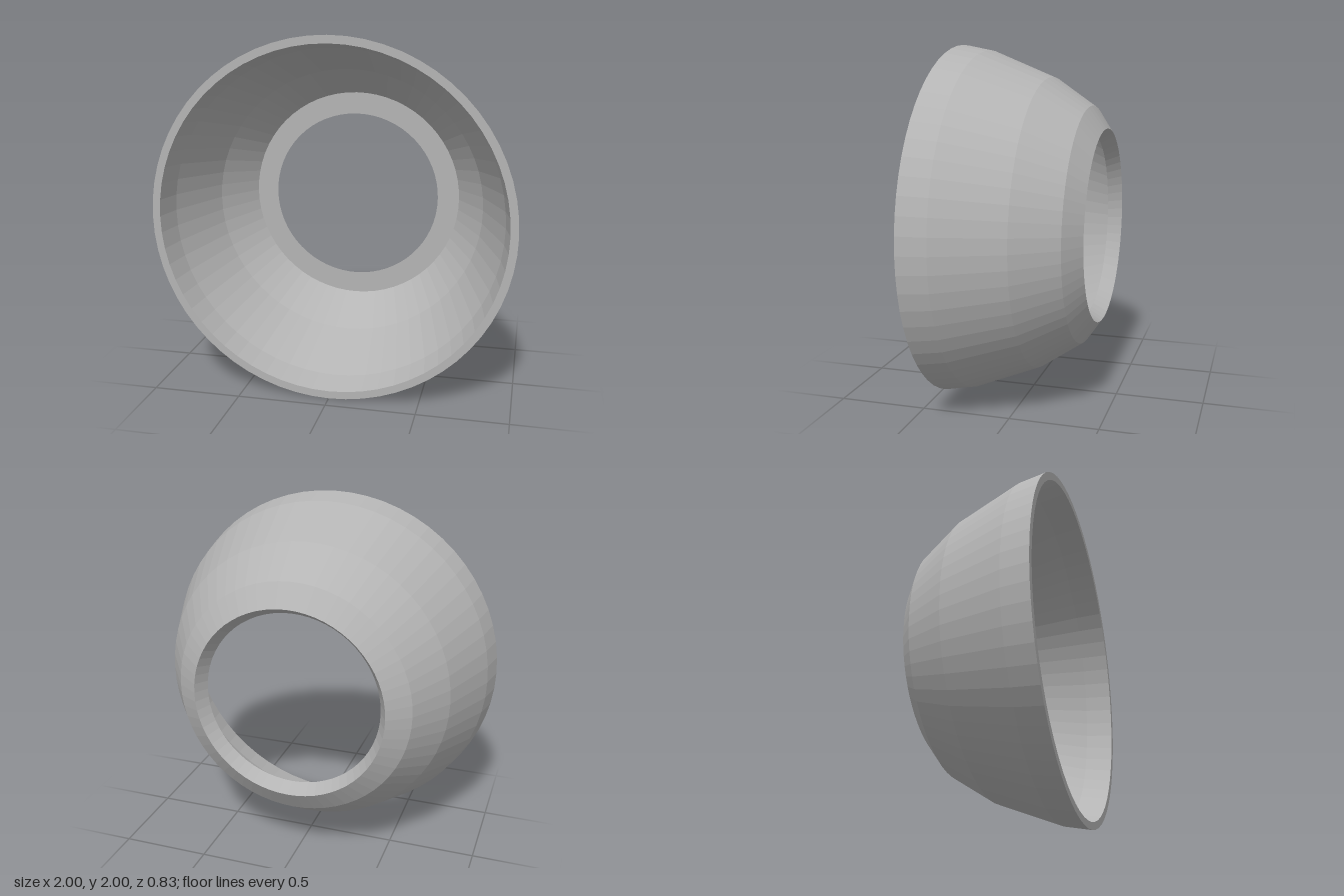
import * as THREE from 'three';

export function createModel() {
  const group = new THREE.Group();
  const grey = new THREE.MeshStandardMaterial({ color: 0xb4b4b4, flatShading: true });
  grey.name = 'grey';

  // Closed wall section as [radius, depth], revolved around the z axis
  const section = [
    [0.545, -0.415], [0.67, -0.33], [0.825, -0.1], [0.97, 0.26], [1, 0.415], // outer wall
    [0.957, 0.415], [0.927, 0.26], [0.785, -0.1], [0.627, -0.335], // inner wall
    [0.5, -0.335], [0.545, -0.415], // ledge and flared hole
  ].map(([r, z]) => new THREE.Vector2(r, z));

  const geometry = new THREE.LatheGeometry(section, 64);
  geometry.rotateX(Math.PI / 2);

  const shade = new THREE.Mesh(geometry, grey);
  shade.name = 'bowlRing';
  shade.position.y = 1;
  group.add(shade);
  return group;
}
